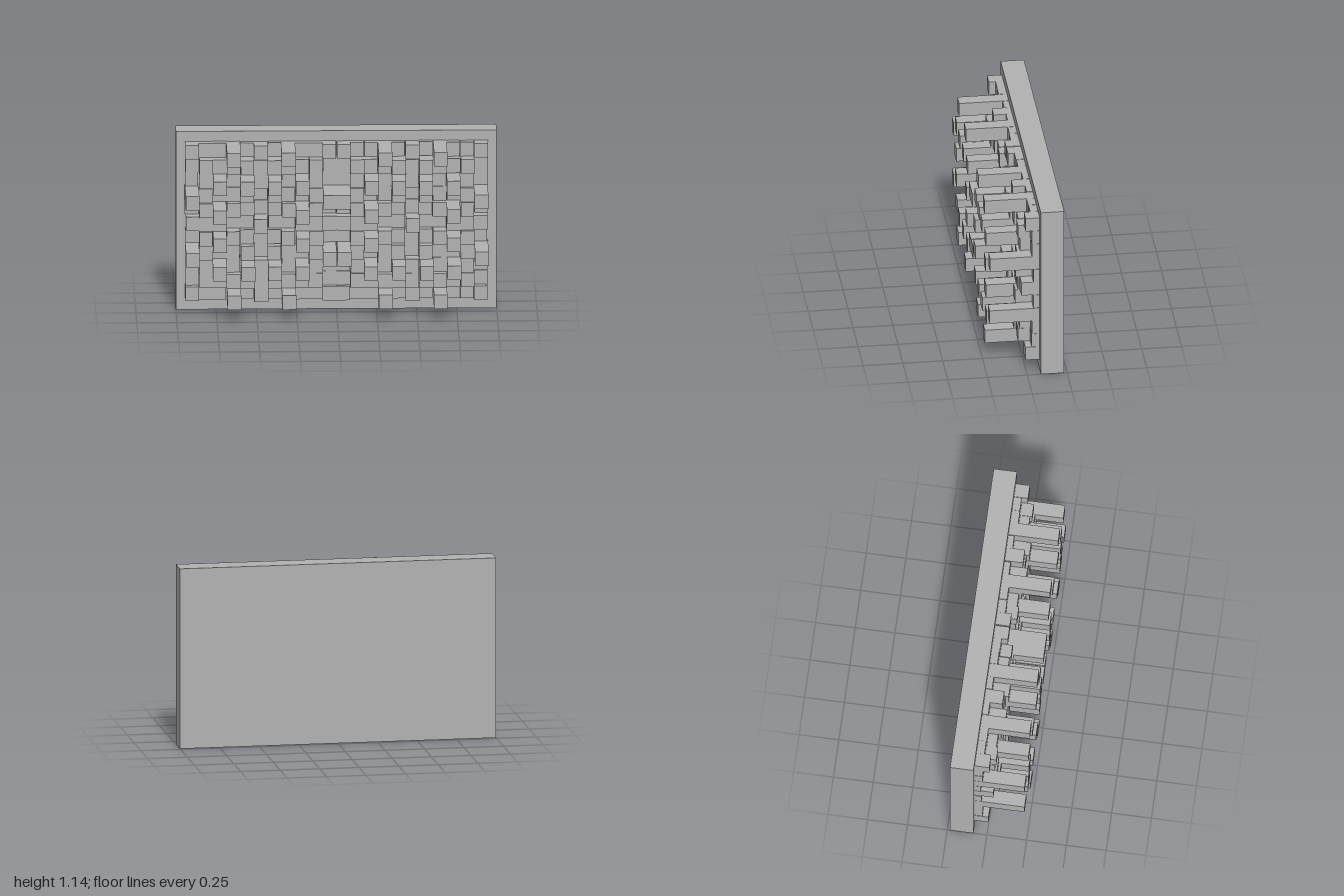
import * as THREE from 'three';

// Front z of the blocks, by distance in cells [row][column] from a panel's centre
const DEPTH = [
  [0.10, -0.04, -0.045, 0.04, 0.04, 0.03],
  [-0.04, 0.0, 0.05, 0.232, 0.058, -0.045],
  [-0.045, 0.05, 0.0, 0.0, 0.045, 0.228],
  [0.04, 0.232, 0.0, 0.228, 0.03, -0.035],
  [0.04, 0.058, 0.045, 0.03, 0.04, -0.035],
  [0.03, -0.045, 0.228, -0.035, -0.035, 0.005],
];
const HALF = 5;
const CELL_W = 0.0857;
const CELL_H = 0.0914;
const MID_Y = 0.577;
const BOARD_FRONT = -0.085;
const BOARD_BACK = -0.232;

function seeded(seed) {
  return () => {
    seed = (seed * 16807) % 2147483647;
    return seed / 2147483647 - 0.5;
  };
}

export function createModel() {
  const model = new THREE.Group();
  model.name = 'acousticDiffuser';
  const grey = new THREE.MeshStandardMaterial({ color: 0xb2b2b2 });
  grey.name = 'plain grey';
  const jitter = seeded(71);

  function box(name, w, h, z0, z1, x, y, parent) {
    const mesh = new THREE.Mesh(new THREE.BoxGeometry(w, h, z1 - z0), grey);
    mesh.position.set(x, y, (z0 + z1) / 2);
    mesh.name = name;
    parent.add(mesh);
  }

  // Backing board
  box('backBoard', 2, 1.144, BOARD_BACK, BOARD_FRONT, 0, 0.572, model);

  // Two square panels of blocks side by side, slightly uneven like cut timber
  for (const side of [-1, 1]) {
    const panel = new THREE.Group();
    panel.name = side < 0 ? 'rightBlockPanel' : 'leftBlockPanel';
    const centreX = side * CELL_W * (HALF + 0.5);
    for (let r = -HALF; r <= HALF; r++) {
      for (let c = -HALF; c <= HALF; c++) {
        const front = DEPTH[Math.abs(r)][Math.abs(c)] + jitter() * 0.006;
        box('block', CELL_W + jitter() * 0.006, CELL_H - 0.001, BOARD_FRONT - 0.01, front,
          centreX + c * CELL_W + jitter() * 0.006, MID_Y + r * CELL_H + jitter() * 0.003, panel);
      }
    }
    model.add(panel);
  }
  return model;
}
